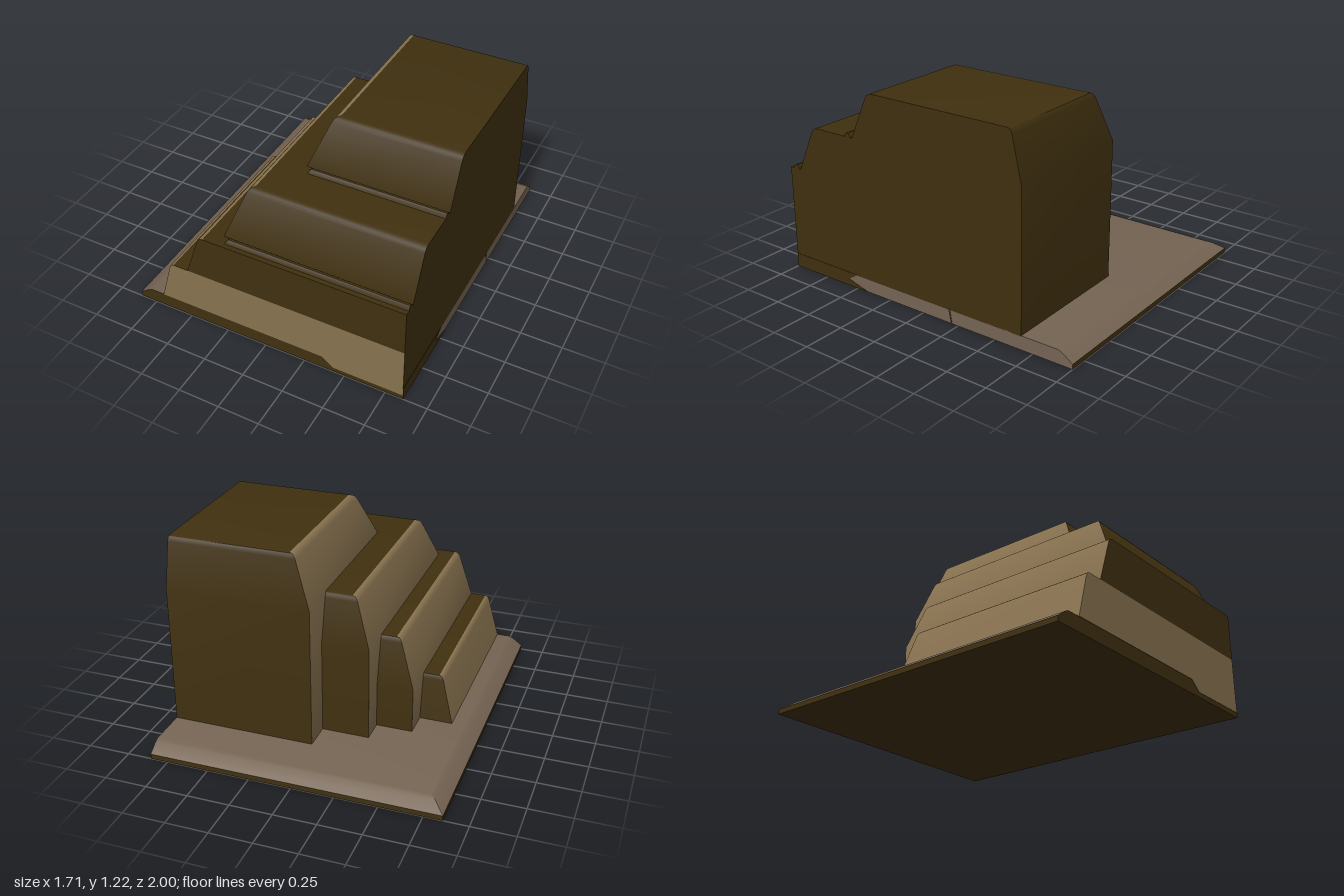
import * as THREE from 'three';
import { toCreasedNormals } from 'three/addons/utils/BufferGeometryUtils.js';

const RIGHT = 0.855;

function material(name, color) {
  const m = new THREE.MeshStandardMaterial({ color });
  m.name = name;
  return m;
}

// Stacks rectangular rings [y, left, right, back, front]; faces are grouped
// as left, front, right, back, top, bottom, one material each.
function loft(name, rings, materials) {
  const pos = [];
  const geo = new THREE.BufferGeometry();
  const loops = rings.map(([y, l, r, b, f]) => [[l, y, b], [l, y, f], [r, y, f], [r, y, b]]);
  const quad = (a, b, c, d) => pos.push(...a, ...b, ...c, ...a, ...c, ...d);
  const group = (index, build) => {
    const start = pos.length / 3;
    build();
    geo.addGroup(start, pos.length / 3 - start, index);
  };
  for (let s = 0; s < 4; s++) {
    const n = (s + 1) % 4;
    group(s, () => {
      for (let i = 0; i < loops.length - 1; i++) {
        quad(loops[i][s], loops[i][n], loops[i + 1][n], loops[i + 1][s]);
      }
    });
  }
  group(4, () => quad(...loops[loops.length - 1]));
  group(5, () => quad(...[...loops[0]].reverse()));
  geo.setAttribute('position', new THREE.Float32BufferAttribute(pos, 3));
  const mesh = new THREE.Mesh(toCreasedNormals(geo, 0.5), materials);
  mesh.name = name;
  return mesh;
}

// Thin painted plate from a flat outline
function plate(name, points, mat) {
  const shape = new THREE.Shape(points.map(([x, y]) => new THREE.Vector2(x, y)));
  const mesh = new THREE.Mesh(new THREE.ExtrudeGeometry(shape, { depth: 0.002, bevelEnabled: false }), mat);
  mesh.name = name;
  return mesh;
}

export function createModel() {
  const model = new THREE.Group();
  model.name = 'steppedBlock';
  const dark = material('darkBrown', 0x40300f);
  const tan = material('tan', 0x88724f);
  const earth = material('greyBrown', 0x756453);

  // Ground slab: thin edge band with a chamfered top
  model.add(loft('slabEdge', [
    [0, -0.857, RIGHT, -1, 0.998],
    [0.03, -0.857, RIGHT, -1, 0.998],
  ], [dark, dark, earth, dark, earth, dark]));
  model.add(loft('slabTop', [
    [0.03, -0.857, RIGHT, -1, 0.998],
    [0.075, -0.795, RIGHT, -0.935, 0.998],
    [0.085, -0.77, RIGHT, -0.91, 0.998],
  ], [earth, dark, earth, earth, earth, dark]));

  // Tiers: upright wall to the shoulder, sloped wall, rounded upper edge
  const tiers = [
    { name: 'firstTier', shoulder: 0.085, top: 0.36, left: -0.69, back: -0.2, front: 1, dl: 0.08, db: 0.05, df: 0, face: tan },
    { name: 'secondTier', shoulder: 0.36, top: 0.645, left: -0.495, back: -0.36, front: 1, dl: 0.1, db: 0.065, df: 0, face: dark },
    { name: 'thirdTier', shoulder: 0.645, top: 0.93, left: -0.28, back: -0.505, front: 0.92, dl: 0.1, db: 0.07, df: 0.13, face: dark },
    { name: 'fourthTier', shoulder: 0.92, top: 1.215, left: 0, back: -0.677, front: 0.49, dl: 0.11, db: 0.065, df: 0.135, face: dark },
  ];
  tiers.forEach((t, i) => {
    const h = t.top - t.shoulder;
    const ring = (k, inset) => [t.shoulder + h * k, t.left + t.dl * inset, RIGHT,
      t.back + t.db * inset, t.front - t.df * inset];
    const rings = [ring(0, 0), ring(0.9, 0.9), ring(0.96, 1), ring(0.99, 1.12), ring(1, 1.25)];
    // The upright part sits just behind the tier below at the front
    if (i > 0) rings.unshift([0.08, t.left, RIGHT, t.back, t.front - 0.004]);
    model.add(loft(t.name, rings, [tan, t.face, dark, dark, dark, dark]));
  });

  // Low ribs along the foot of the two upper front slopes
  [['upperRib', 0.93, 0.035, 0.52], ['lowerRib', 0.645, -0.245, 0.95]].forEach(([name, y, x, z]) => {
    model.add(loft(name, [
      [y - 0.003, x, RIGHT, z - 0.023, z + 0.023],
      [y + 0.018, x + 0.012, RIGHT, z - 0.014, z + 0.014],
      [y + 0.025, x + 0.022, RIGHT, z - 0.007, z + 0.007],
    ], Array(6).fill(dark)));
  });

  // Lower corner of the front face, cutting over the slab
  const frontPlate = plate('frontCorner', [[0.36, 0.085], [0.43, 0.03], [RIGHT, 0.03], [RIGHT, 0.085]], tan);
  frontPlate.position.z = 0.998;
  model.add(frontPlate);

  // Lower corner of the right face, cutting over the slab
  const sidePlate = plate('sideCorner', [[-1, 0], [-0.42, 0], [-0.57, 0.04], [-0.5, 0.085], [-1, 0.085]], dark);
  sidePlate.rotation.y = Math.PI / 2;
  sidePlate.position.x = RIGHT;
  model.add(sidePlate);

  // Narrow joint in the slab's right edge
  const joint = plate('slabJoint', [[0.185, 0.085], [0.2, 0], [0.21, 0], [0.195, 0.085]], dark);
  joint.rotation.y = Math.PI / 2;
  joint.position.x = RIGHT;
  model.add(joint);

  return model;
}
